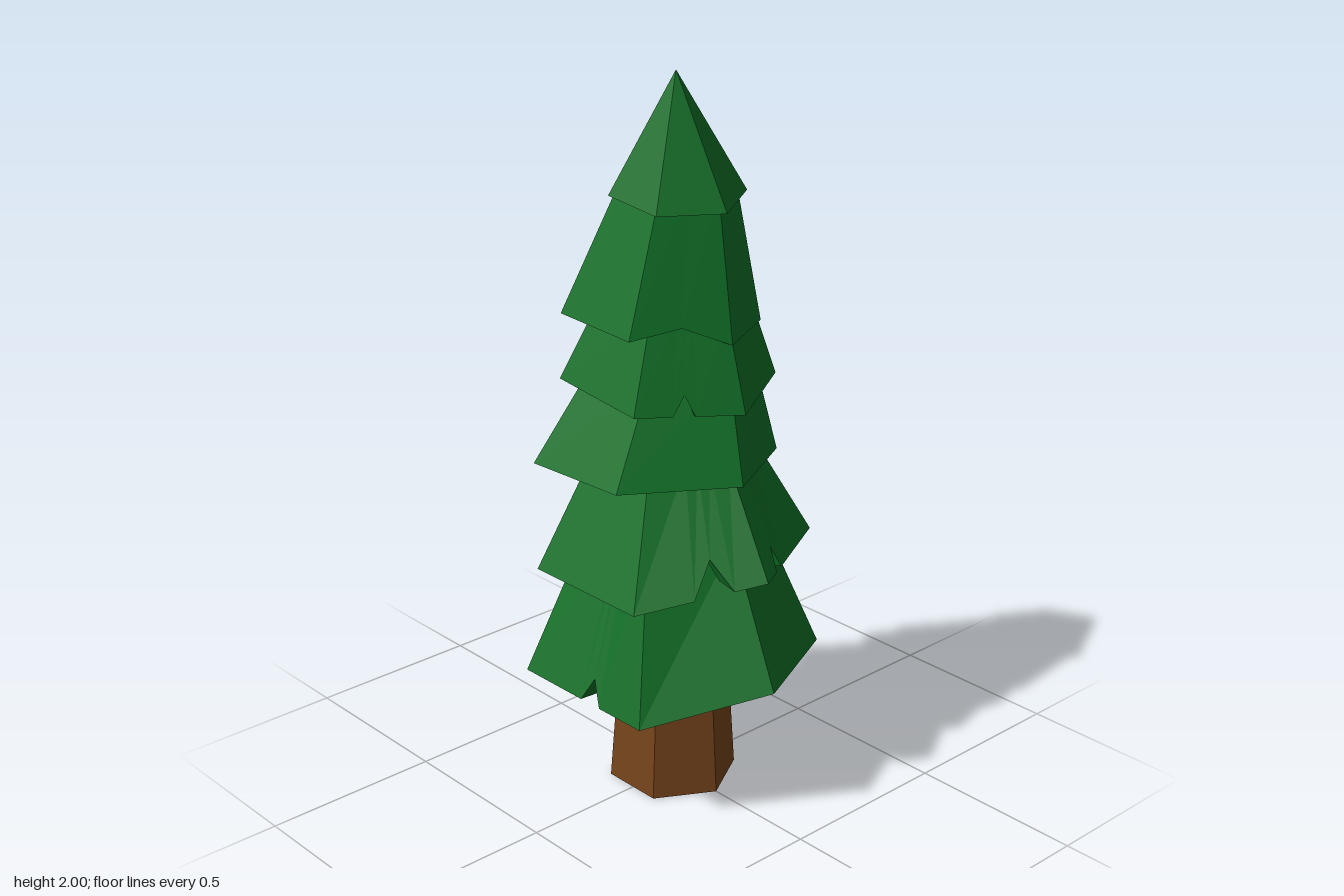
import * as THREE from 'three';

const leaf = new THREE.MeshStandardMaterial({ color: 0x0f7027, flatShading: true });
const bark = new THREE.MeshStandardMaterial({ color: 0x76441b, flatShading: true });

// Joins matching closed rings of points into faceted skin, first ring lowest.
function loft(rings) {
  const pos = [];
  const tri = (...pts) => pts.forEach((p) => pos.push(p.x, p.y, p.z));
  for (let k = 0; k < rings.length - 1; k++) {
    const lo = rings[k], hi = rings[k + 1], n = lo.length;
    for (let i = 0; i < n; i++) {
      const j = (i + 1) % n;
      tri(lo[i], lo[j], hi[j]);
      tri(lo[i], hi[j], hi[i]);
    }
  }
  const g = new THREE.BufferGeometry();
  g.setAttribute('position', new THREE.Float32BufferAttribute(pos, 3));
  g.computeVertexNormals();
  return g;
}

// Six corners, starting at the front and turning towards +x.
function hexagon(cx, y, cz, r) {
  return Array.from({ length: 6 }, (_, i) => {
    const a = (i * Math.PI) / 3;
    return new THREE.Vector3(cx + r * Math.sin(a), y, cz + r * Math.cos(a));
  });
}

// A skirt of branches: a tilted hexagonal rim, cut by notches, narrowing to its top.
// tilt: slope along x and z; shift: extra x and y of single corners
// notches: edge, place along edge (at), half width (none = whole edge), depth up the face
function tier({ y, r, x = 0, z = 0, tilt = [0, 0], shift = {}, notches = [], top, lean = [0, 0] }) {
  const corners = hexagon(x, y, z, r);
  corners.forEach((p, i) => {
    const [dx, dy] = shift[i] ?? [0, 0];
    p.y += p.x * tilt[0] + p.z * tilt[1] + dy;
    p.x += dx;
  });
  const tops = hexagon(lean[0], top.y, lean[1], top.r);
  const outer = [], upper = [];
  for (let e = 0; e < 6; e++) {
    const f = (e + 1) % 6;
    const add = (t, depth) => {
      const u = tops[e].clone().lerp(tops[f], t);
      outer.push(corners[e].clone().lerp(corners[f], t).lerp(u, depth));
      upper.push(u);
    };
    add(0, 0);
    const notch = notches.find((n) => n.edge === e);
    if (notch) {
      const { at, half, depth } = notch;
      if (half) add(at - half, 0);
      add(at, depth);
      if (half) add(at + half, 0);
    }
  }
  // Thick rim around a hollowed underside
  const inner = outer.map((p) => new THREE.Vector3(p.x * 0.75, p.y - 0.005, p.z * 0.75));
  const centre = outer.map(() => new THREE.Vector3(0, y + 0.12, 0));
  return loft([centre, inner, outer, upper]);
}

// Corners and edges count from the front: 0 front, 1 right front ... 5 left front.
const skirts = {
  lowest: {
    y: 0.36, r: 0.41, shift: { 0: [-0.02, 0.05], 5: [0.045, -0.035] }, top: { y: 0.78, r: 0.23 },
    notches: [{ edge: 1, at: 0.38, depth: 0.25 }, { edge: 4, at: 0.57, half: 0.08, depth: 0.15 }],
  },
  second: {
    y: 0.685, r: 0.377, z: 0.005, tilt: [0.02, 0.09], shift: { 0: [-0.02, 0], 5: [0.01, -0.04] },
    top: { y: 1, r: 0.21 },
    notches: [
      { edge: 0, at: 0.25, half: 0.05, depth: 0.2 },
      { edge: 2, at: 0.45, depth: 0.22 },
      { edge: 5, at: 0.6, half: 0.15, depth: 0.28 },
    ],
  },
  third: {
    y: 0.955, r: 0.33, x: -0.035, z: -0.03, tilt: [-0.05, 0.04],
    shift: { 2: [0, -0.03], 3: [0.02, 0.03] }, top: { y: 1.24, r: 0.21 },
    notches: [{ edge: 2, at: 0.45, half: 0.06, depth: 0.12 }],
  },
  fourth: {
    y: 1.175, r: 0.29, z: -0.02, tilt: [0, -0.1], top: { y: 1.4, r: 0.198 },
    notches: [
      { edge: 2, at: 0.4, half: 0.2, depth: 0.2 },
      { edge: 5, at: 0.45, half: 0.1, depth: 0.22 },
    ],
  },
  fifth: {
    y: 1.34, r: 0.265, x: -0.02, z: -0.025, tilt: [-0.1, -0.04], top: { y: 1.72, r: 0.148 },
    lean: [0, 0.015],
    notches: [
      { edge: 1, at: 0.48, depth: 0.15 },
      { edge: 2, at: 0.4, half: 0.15, depth: 0.22 },
      { edge: 5, at: 0.5, depth: 0.1 },
    ],
  },
  tip: {
    y: 1.68, r: 0.18, z: 0.015, tilt: [0.04, -0.1], top: { y: 2, r: 0 }, lean: [-0.03, 0.04],
  },
};

export function createModel() {
  const tree = new THREE.Group();
  tree.name = 'pineTree';

  // Tapered trunk
  const trunk = new THREE.Mesh(loft([
    hexagon(0, 0, -0.005, 0),
    hexagon(0, 0, -0.005, 0.178),
    hexagon(0, 0.55, 0, 0.14),
  ]), bark);
  trunk.name = 'trunk';
  tree.add(trunk);

  // Stacked skirts of branches
  for (const [name, spec] of Object.entries(skirts)) {
    const mesh = new THREE.Mesh(tier(spec), leaf);
    mesh.name = `${name}Foliage`;
    tree.add(mesh);
  }
  return tree;
}
